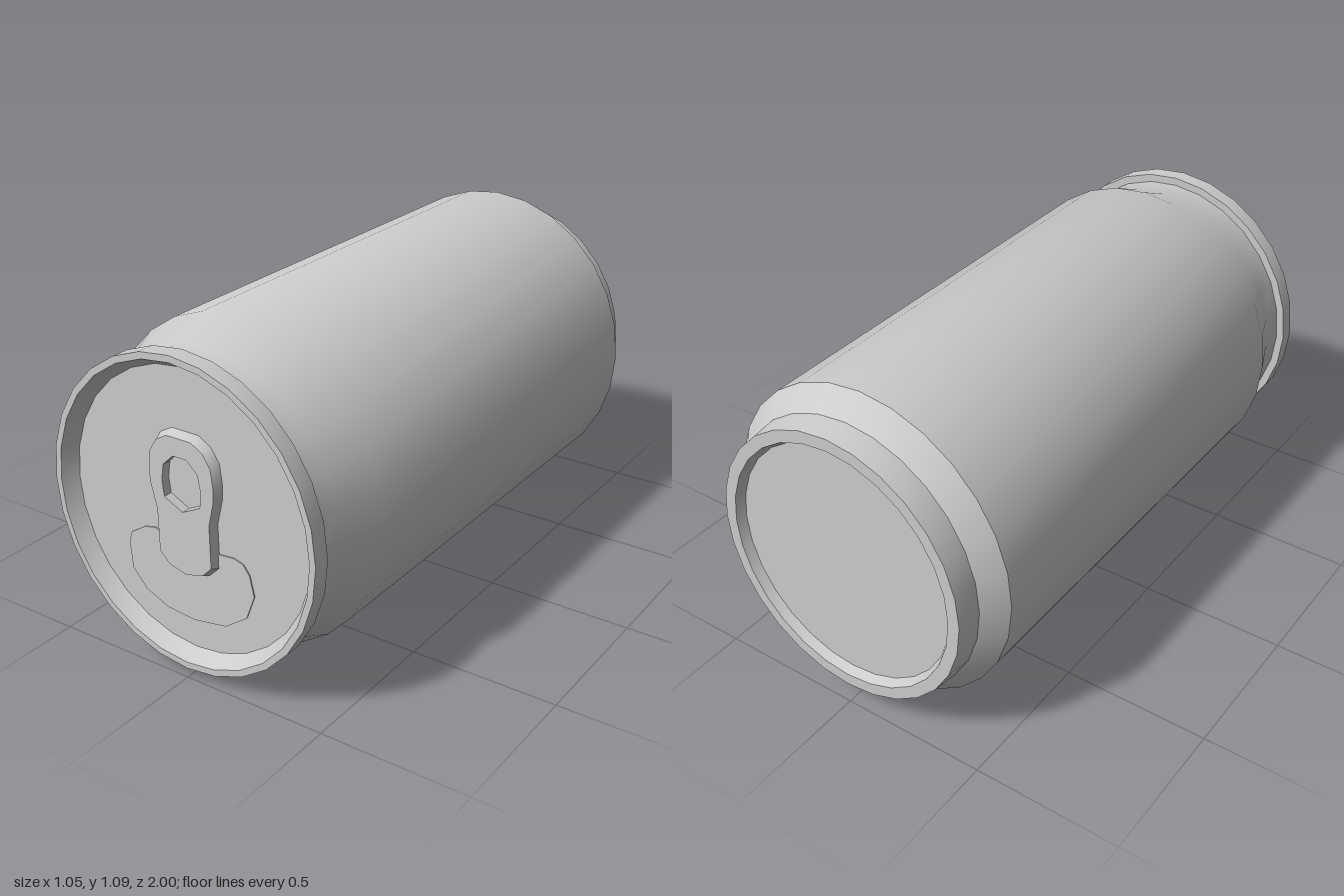
import * as THREE from 'three';
import { toCreasedNormals } from 'three/addons/utils/BufferGeometryUtils.js';

const CENTRE_Y = 0.549;

const toPoints = (list) => list.map(([x, y]) => new THREE.Vector2(x, y));
const mirrored = (half) => [...half, ...half.filter(([x]) => x !== 0).reverse().map(([x, y]) => [-x, y])];

export function createModel() {
  const group = new THREE.Group();
  const material = new THREE.MeshStandardMaterial({ color: 0xcccccc });

  const add = (name, geometry) => {
    const mesh = new THREE.Mesh(toCreasedNormals(geometry, 0.5), material);
    mesh.name = name;
    group.add(mesh);
    return mesh;
  };

  // Can lying on its side: profile runs from the base centre (back) to the lid centre (front)
  const profile = toPoints([
    [0, -0.97], [0.415, -0.97], [0.43, -1], [0.472, -1],
    [0.481, -0.915], [0.547, -0.845], [0.547, 0.715], [0.487, 0.855],
    [0.487, 0.942], [0.515, 0.942], [0.515, 1], [0.493, 1],
    [0.463, 0.95], [0, 0.95],
  ]);
  const body = new THREE.LatheGeometry(profile, 28);
  body.rotateX(Math.PI / 2);
  body.scale(0.956, 1, 1); // slightly oval
  add('canBody', body).position.y = CENTRE_Y;

  // Pour opening: a barely raised panel on the lid
  const mouth = new THREE.Shape(toPoints([
    [-0.105, 0.445], [-0.137, 0.46], [-0.18, 0.45], [-0.235, 0.415], [-0.247, 0.378],
    [-0.24, 0.288], [-0.19, 0.23], [-0.105, 0.192], [0, 0.183], [0.122, 0.203],
    [0.203, 0.26], [0.235, 0.343], [0.22, 0.41], [0.198, 0.44], [0.163, 0.45], [0.11, 0.445],
  ]));
  const panel = new THREE.ExtrudeGeometry(mouth, { depth: 0.008, bevelEnabled: false });
  add('mouthPanel', panel).position.z = 0.946;

  // Pull tab with a finger hole
  const tab = new THREE.Shape(toPoints(mirrored([
    [0, 0.34], [0.07, 0.358], [0.108, 0.395], [0.108, 0.545], [0.131, 0.635],
    [0.133, 0.677], [0.125, 0.745], [0.095, 0.79], [0.05, 0.815],
  ])));
  tab.holes.push(new THREE.Path(toPoints(mirrored([
    [0, 0.564], [0.067, 0.597], [0.073, 0.65], [0.064, 0.703], [0.025, 0.74],
  ]))));
  const tabGeometry = new THREE.ExtrudeGeometry(tab, { depth: 0.034, bevelEnabled: false });

  // Slope the outer sides by drawing in the front outline, leaving the hole straight
  const pos = tabGeometry.attributes.position;
  for (let i = 0; i < pos.count; i++) {
    const x = pos.getX(i), y = pos.getY(i);
    const onOutline = Math.abs(x) > 0.08 || y > 0.78 || y < 0.5;
    if (pos.getZ(i) > 0.02 && onOutline) {
      pos.setXY(i, x * 0.91, 0.577 + (y - 0.577) * 0.94);
    }
  }
  add('pullTab', tabGeometry).position.z = 0.946;

  return group;
}
